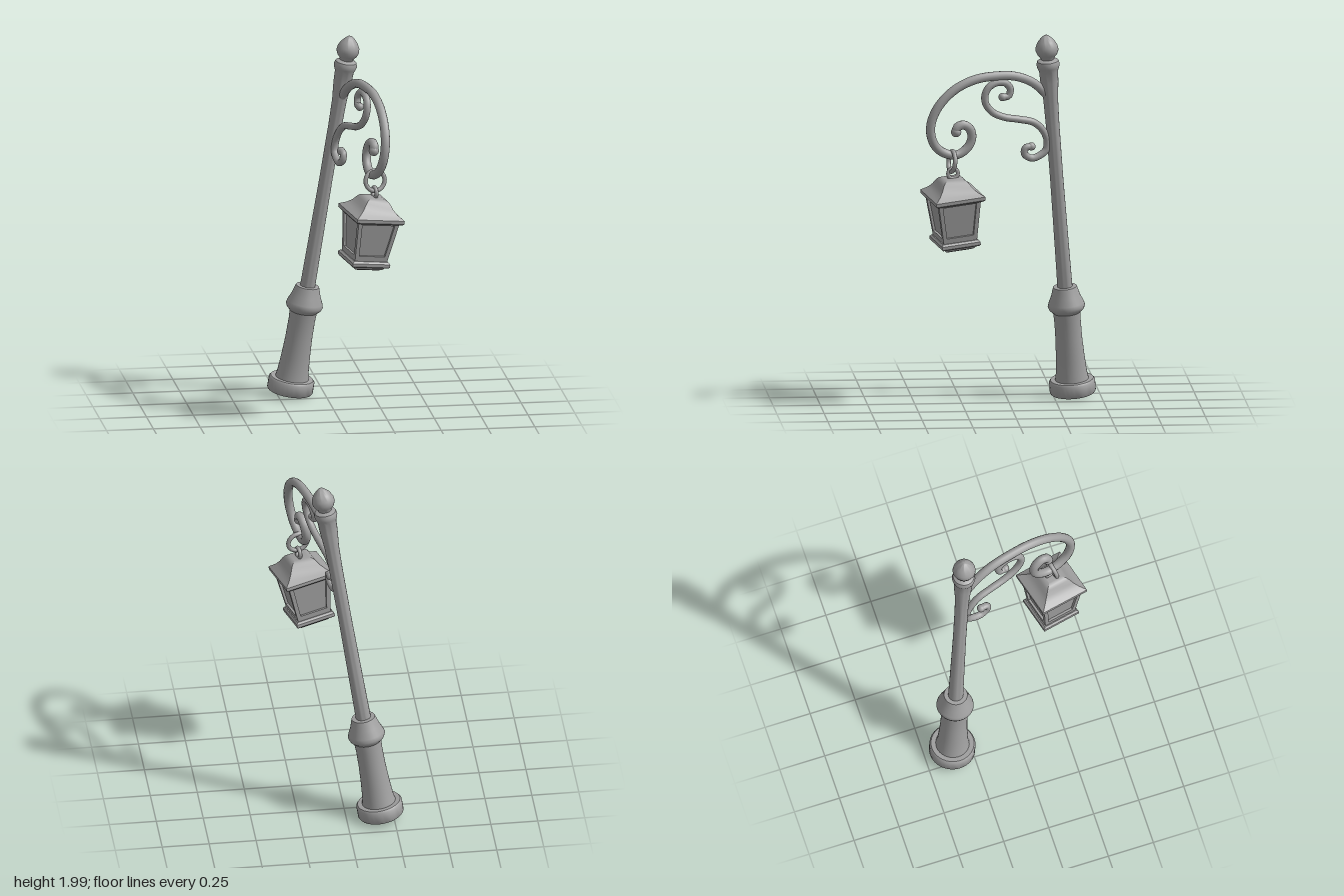
import * as THREE from 'three';
import { toCreasedNormals } from 'three/addons/utils/BufferGeometryUtils.js';

const UP = new THREE.Vector3(0, 1, 0);
const metal = new THREE.MeshStandardMaterial({ color: 0xa0a0a0 });
metal.name = 'grey metal';

function add(parent, name, geometry) {
  const mesh = new THREE.Mesh(geometry, metal);
  mesh.name = name;
  parent.add(mesh);
  return mesh;
}

// Round turned part from [radius, height] pairs
function turned(profile) {
  const pts = profile.map(([r, y]) => new THREE.Vector2(r, y));
  return toCreasedNormals(new THREE.LatheGeometry(pts, 32), 0.7);
}

// Square part from [half width, height] pairs
function squared(profile) {
  const pts = profile.map(([h, y]) => new THREE.Vector2(h * Math.SQRT2, y));
  const g = new THREE.LatheGeometry(pts, 4);
  g.rotateY(Math.PI / 4);
  return toCreasedNormals(g, 0.5);
}

// Scrolled rod lying in the leaning plane of the post, from [z, y] pairs
function scroll(parent, name, points, radius, balls) {
  const pts = points.map(([z, y]) => new THREE.Vector3(-0.098 + 0.131 * y + 0.25 * z, y, z));
  const curve = new THREE.CatmullRomCurve3(pts, false, 'centripetal');
  add(parent, name, new THREE.TubeGeometry(curve, 110, radius, 12));
  for (const i of balls) {
    add(parent, name + 'End', new THREE.SphereGeometry(radius * 1.15, 14, 10)).position.copy(pts.at(i));
  }
}

// Tapered window frame for one lantern side
function frameGeometry() {
  const low = -0.235, high = 0, bar = 0.022;
  const half = (y) => 0.092 + (y - low) * 0.11;
  const shape = new THREE.Shape([
    [-half(low), low], [half(low), low], [half(high), high], [-half(high), high],
  ].map((p) => new THREE.Vector2(...p)));
  const a = low + bar + 0.012, b = high - bar;
  shape.holes.push(new THREE.Path([
    [-half(a) + bar, a], [-half(b) + bar, b], [half(b) - bar, b], [half(a) - bar, a],
  ].map((p) => new THREE.Vector2(...p))));
  const g = new THREE.ExtrudeGeometry(shape, { depth: 0.014, bevelEnabled: false });
  const pos = g.attributes.position;
  for (let i = 0; i < pos.count; i++) {
    pos.setZ(i, pos.getZ(i) - 0.014 + half(pos.getY(i)));
  }
  g.computeVertexNormals();
  return g;
}

export function createModel() {
  const model = new THREE.Group();
  model.name = 'streetLamp';

  // Leaning post
  const post = new THREE.Group();
  post.name = 'post';
  post.position.set(-0.184, 0.024, -0.353);
  post.quaternion.setFromUnitVectors(UP, new THREE.Vector3(0.152, 1, 0.085).normalize());
  model.add(post);
  add(post, 'base', turned([[0, 0], [0.116, 0], [0.122, 0.008], [0.122, 0.066], [0.114, 0.076], [0, 0.076]]));
  add(post, 'column', turned([[0.09, 0.07], [0.083, 0.11], [0.076, 0.2], [0.071, 0.3], [0.07, 0.4],
    [0.073, 0.45], [0.092, 0.468], [0.099, 0.485], [0.094, 0.503], [0.078, 0.54], [0.066, 0.58], [0.062, 0.592], [0, 0.595]]));
  add(post, 'pole', turned([[0.04, 0.58], [0.038, 0.8], [0.035, 1.2], [0.036, 1.5], [0.039, 1.64],
    [0.048, 1.74], [0.05, 1.8], [0.058, 1.82], [0.062, 1.838], [0.056, 1.856], [0.038, 1.866], [0, 1.868]]));
  add(post, 'finial', turned([[0.034, 1.86], [0.037, 1.875], [0.052, 1.892], [0.061, 1.915], [0.058, 1.938],
    [0.044, 1.965], [0.024, 1.987], [0.012, 1.997], [0, 2]]));

  // Curved arm and the decorative scroll below it
  scroll(model, 'arm', [[-0.225, 1.61], [-0.19, 1.67], [-0.114, 1.74], [-0.02, 1.778], [0.077, 1.785], [0.193, 1.772],
    [0.3, 1.725], [0.384, 1.645], [0.426, 1.56], [0.431, 1.487], [0.405, 1.418], [0.352, 1.376], [0.288, 1.365],
    [0.235, 1.397], [0.209, 1.45], [0.22, 1.503], [0.257, 1.527], [0.29, 1.513], [0.294, 1.49]], 0.024, [-1]);
  scroll(model, 'bracketScroll', [[0.045, 1.667], [0.013, 1.672], [0.004, 1.71], [0.03, 1.743], [0.077, 1.748],
    [0.119, 1.725], [0.14, 1.683], [0.135, 1.635], [0.098, 1.587], [0.034, 1.556], [-0.045, 1.54], [-0.124, 1.519],
    [-0.172, 1.476], [-0.198, 1.418], [-0.193, 1.365], [-0.156, 1.333], [-0.114, 1.323], [-0.077, 1.349],
    [-0.082, 1.381], [-0.114, 1.387]], 0.019, [0, -1]);

  // Chain links
  const bigLink = add(model, 'upperLink', new THREE.TorusGeometry(0.054, 0.012, 10, 32));
  bigLink.position.set(0.174, 1.333, 0.317);
  bigLink.rotation.set(-0.1, 0.24, 0, 'YXZ');
  const smallLink = add(model, 'lowerLink', new THREE.TorusGeometry(0.027, 0.011, 10, 24));
  smallLink.position.set(0.172, 1.268, 0.311);
  smallLink.rotation.y = 0.24 + Math.PI / 2;

  // Hanging lantern
  const lantern = new THREE.Group();
  lantern.name = 'lantern';
  lantern.position.set(0.155, 1.145, 0.31);
  lantern.quaternion.setFromUnitVectors(UP, new THREE.Vector3(0.15, 1, 0.06).normalize())
    .multiply(new THREE.Quaternion().setFromAxisAngle(UP, 0.24));
  model.add(lantern);
  add(lantern, 'roof', squared([[0, -0.012], [0.128, -0.012], [0.136, -0.004], [0.136, 0.014], [0.128, 0.02],
    [0.104, 0.036], [0.084, 0.057], [0.068, 0.083], [0.056, 0.096], [0.04, 0.102], [0, 0.102]]));
  add(lantern, 'glass', squared([[0.079, -0.235], [0.105, 0]]));
  const frame = frameGeometry();
  for (let i = 0; i < 4; i++) {
    add(lantern, 'windowFrame', frame).rotation.y = i * Math.PI / 2;
  }
  add(lantern, 'lanternBase', squared([[0, -0.292], [0.055, -0.29], [0.078, -0.28], [0.088, -0.264], [0.1, -0.264],
    [0.107, -0.257], [0.107, -0.24], [0.098, -0.23], [0, -0.23]]));

  return model;
}
